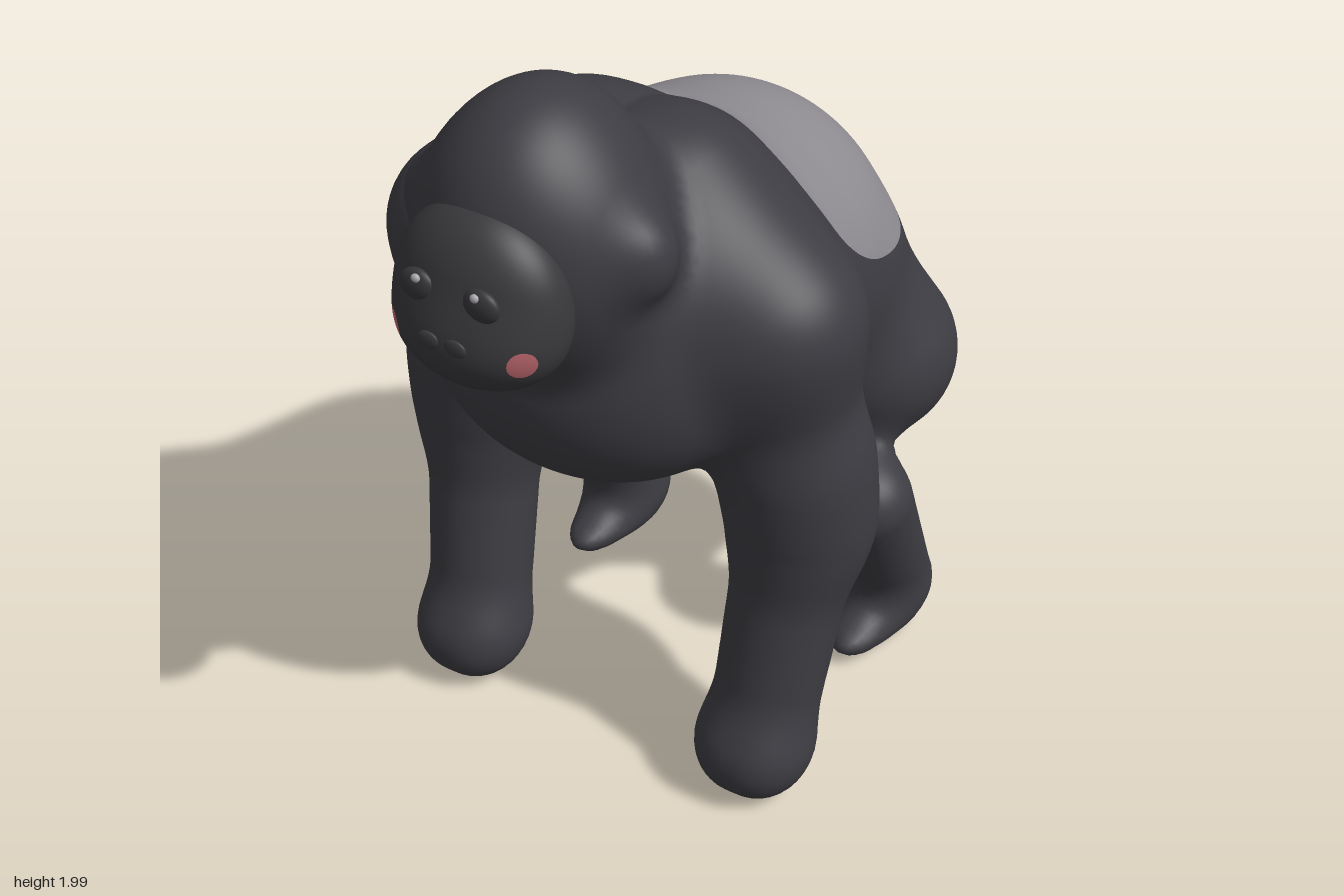
import * as THREE from 'three';
import { mergeVertices } from 'three/addons/utils/BufferGeometryUtils.js';

const material = (name, color) => {
  const m = new THREE.MeshStandardMaterial({ color });
  m.name = name;
  return m;
};
const fur = material('dark fur', 0x3d3c42);
const silver = material('silver fur', 0x8d8a90);
const skinTone = material('face skin', 0x39383b);
const eyeDark = material('eye dark', 0x363539);
const glint = material('eye glint', 0xa9a6ac);
const blush = material('cheek pink', 0xb8656b);
const skinMaterials = { silverBack: silver, face: skinTone, cheeks: blush };

// Rounded volumes as distance functions; x is mirrored, so only the left side is described
const ellipsoid = (c, r) => (x, y, z) => {
  const u = (x - c[0]) / r[0], v = (y - c[1]) / r[1], w = (z - c[2]) / r[2];
  const k = Math.hypot(u, v, w);
  if (k < 1e-6) return -Math.min(...r);
  return (k * (k - 1)) / Math.hypot(u / r[0], v / r[1], w / r[2]);
};
const limb = (a, b, ra, rb) => {
  const d = b.map((v, i) => v - a[i]);
  const len2 = d[0] ** 2 + d[1] ** 2 + d[2] ** 2;
  return (x, y, z) => {
    const px = x - a[0], py = y - a[1], pz = z - a[2];
    const t = Math.min(1, Math.max(0, (px * d[0] + py * d[1] + pz * d[2]) / len2));
    return Math.hypot(px - d[0] * t, py - d[1] * t, pz - d[2] * t) - ra - (rb - ra) * t;
  };
};

const bodyParts = {
  torso: [
    ellipsoid([0, 1.15, -0.35], [0.45, 0.465, 0.427]),   // belly and rump
    ellipsoid([0, 1.26, -0.15], [0.445, 0.38, 0.3]),     // waist
    ellipsoid([0, 1.345, 0.1], [0.47, 0.415, 0.42]),     // rib cage
    ellipsoid([0, 1.19, 0.26], [0.36, 0.25, 0.245]),     // lower chest
    limb([0.13, 1.6, 0.08], [0.41, 1.37, 0.12], 0.185, 0.175), // shoulder slope
  ],
  head: [
    ellipsoid([0, 1.61, 0.43], [0.25, 0.24, 0.21]),
    ellipsoid([0, 1.61, 0.47], [0.22, 0.23, 0.175]),     // brow and jaw
    ellipsoid([0, 1.7, 0.43], [0.24, 0.18, 0.19]),       // temples
    ellipsoid([0, 1.785, 0.425], [0.18, 0.21, 0.222]),   // crest
    ellipsoid([0.285, 1.67, 0.44], [0.03, 0.045, 0.035]), // ear
  ],
  arm: [
    limb([0.41, 1.37, 0.1], [0.45, 0.95, 0.05], 0.18, 0.158),
    limb([0.45, 0.95, 0.05], [0.46, 0.77, 0.03], 0.158, 0.145),
    limb([0.46, 0.77, 0.03], [0.43, 0.18, 0.14], 0.15, 0.132),
    limb([0.41, 0.125, 0.2], [0.45, 0.125, 0.2], 0.1, 0.1), // fist
  ],
  leg: [
    ellipsoid([0.315, 0.85, -0.585], [0.215, 0.215, 0.213]), // haunch
    limb([0.2, 1.08, -0.52], [0.3, 0.88, -0.58], 0.205, 0.195), // buttock
    limb([0.445, 0.565, -0.36], [0.42, 0.14, -0.6], 0.12, 0.112),
    ellipsoid([0.42, 0.062, -0.47], [0.078, 0.054, 0.155]), // foot
  ],
};
const faceParts = {
  face: [
    ellipsoid([0, 1.61, 0.645], [0.21, 0.21, 0.135]),
    ellipsoid([0, 1.53, 0.67], [0.18, 0.112, 0.125]),    // muzzle
  ],
};

// Smooth union of all volumes, cut level at the ground
const blend = (parts, k) => {
  const shapes = Object.values(parts).flat();
  return (x, y, z) => {
    let d = 10;
    for (const s of shapes) {
      const e = s(Math.abs(x), y, z);
      const h = Math.max(0, k - Math.abs(d - e));
      d = Math.min(d, e) - (h * h) / (4 * k);
    }
    return Math.max(d, 0.004 - y);
  };
};
const slope = (f, [x, y, z], e = 0.002) => [
  (f(x + e, y, z) - f(x - e, y, z)) / (2 * e),
  (f(x, y + e, z) - f(x, y - e, z)) / (2 * e),
  (f(x, y, z + e) - f(x, y, z - e)) / (2 * e),
];

// Wrap a field in a skin: one point per crossed grid cell, one quad per crossed grid edge
function wrap(f, min, max, step, emit) {
  const n = min.map((v, i) => Math.ceil((max[i] - v) / step) + 1);
  const stride = [1, n[0], n[0] * n[1]];
  const at = (i) => [i % n[0], Math.floor(i / n[0]) % n[1], Math.floor(i / stride[2])];
  const values = new Float32Array(n[0] * n[1] * n[2]);
  for (let i = 0; i < values.length; i++) {
    values[i] = f(...at(i).map((c, a) => min[a] + c * step));
  }
  const points = new Map();
  const point = (cell) => {
    if (!points.has(cell)) {
      const middle = at(cell).map((c, a) => min[a] + (c + 0.5) * step);
      let p = middle;
      for (let pass = 0; pass < 3; pass++) {
        const d = f(...p), g = slope(f, p);
        const g2 = Math.max(0.3, g[0] ** 2 + g[1] ** 2 + g[2] ** 2);
        // Stay close to the cell
        p = p.map((v, a) => THREE.MathUtils.clamp(v - (d * g[a]) / g2, middle[a] - step, middle[a] + step));
      }
      points.set(cell, p);
    }
    return points.get(cell);
  };
  for (let i = 0; i < values.length - stride[2]; i++) {
    for (let a = 0; a < 3; a++) {
      const inside = values[i] < 0;
      if (inside === values[i + stride[a]] < 0) continue;
      const b = stride[(a + 1) % 3], c = stride[(a + 2) % 3];
      const q = [i, i - b, i - b - c, i - c].map(point);
      if (!inside) q.reverse();
      emit([q[0], q[1], q[2]]);
      emit([q[0], q[2], q[3]]);
    }
  }
}

// The part of a triangle where sign * g is negative
function clip(tri, g, sign) {
  const out = [];
  tri.forEach((p, i) => {
    const q = tri[(i + 1) % 3];
    const gp = sign * g(p), gq = sign * g(q);
    if (gp <= 0) out.push(p);
    if (gp * gq < 0) out.push(p.map((v, a) => v + ((q[a] - v) * gp) / (gp - gq)));
  });
  return out;
}

// Collect polygons under part names and turn each collection into a smooth mesh
function buildSkin(group, f, min, max, step, sort) {
  const bins = {};
  const add = (name, poly) => {
    if (poly.length < 3) return;
    const bin = (bins[name] ??= { position: [], normal: [] });
    for (let i = 2; i < poly.length; i++) {
      for (const p of [poly[0], poly[i - 1], poly[i]]) {
        const g = slope(f, p), l = Math.hypot(...g) || 1;
        bin.position.push(...p);
        bin.normal.push(g[0] / l, g[1] / l, g[2] / l);
      }
    }
  };
  wrap(f, min, max, step, (tri) => sort(tri, add));
  for (const [name, bin] of Object.entries(bins)) {
    const geo = new THREE.BufferGeometry();
    for (const key of ['position', 'normal']) {
      geo.setAttribute(key, new THREE.Float32BufferAttribute(bin[key], 3));
    }
    const mesh = new THREE.Mesh(mergeVertices(geo, 1e-5), skinMaterials[name] ?? fur);
    mesh.name = name;
    group.add(mesh);
  }
}

export function createModel() {
  const model = new THREE.Group();
  model.name = 'gorilla';

  // Furry body, divided into the nearest part; the saddle on the back is silver
  const saddle = ([, y, z]) => ((z + 0.535) / 0.435) ** 2 + ((y - 1.7) / 0.45) ** 2 - 1;
  const partName = (tri) => {
    const [x, y, z] = [0, 1, 2].map((a) => (tri[0][a] + tri[1][a] + tri[2][a]) / 3);
    let best = 10, name = '';
    for (const [key, shapes] of Object.entries(bodyParts)) {
      for (const s of shapes) {
        const d = s(Math.abs(x), y, z);
        if (d < best) [best, name] = [d, key];
      }
    }
    if (name === 'arm' || name === 'leg') name = (x > 0 ? 'left' : 'right') + (name === 'arm' ? 'Arm' : 'Leg');
    return name;
  };
  buildSkin(model, blend(bodyParts, 0.13), [-0.72, -0.05, -0.88], [0.72, 2.07, 0.78], 0.022, (tri, add) => {
    add('silverBack', clip(tri, saddle, 1));
    add(partName(tri), clip(tri, saddle, -1));
  });

  // Bare face with flush pink cheeks
  const face = blend(faceParts, 0.08);
  const faceZ = (x, y) => {
    let z = 0.9;
    while (z > 0.6 && face(x, y, z) > 0) z -= 0.002;
    return z;
  };
  const cheekZ = faceZ(0.163, 1.53);
  const cheek = ([x, y, z]) => Math.hypot(Math.abs(x) - 0.163, y - 1.53, z - cheekZ) - 0.034;
  buildSkin(model, face, [-0.26, 1.35, 0.44], [0.26, 1.87, 0.87], 0.011, (tri, add) => {
    add('cheeks', clip(tri, cheek, 1));
    add('face', clip(tri, cheek, -1));
  });

  // Features seated on the face surface
  const ball = new THREE.SphereGeometry(1, 24, 16);
  const feature = (name, mat, x, y, radii, lift) => {
    for (const side of [1, -1]) {
      const mesh = new THREE.Mesh(ball, mat);
      mesh.name = (side > 0 ? 'left' : 'right') + name;
      mesh.position.set(side * x, y, faceZ(x, y) + lift);
      mesh.scale.set(...radii);
      model.add(mesh);
    }
  };
  feature('Eye', eyeDark, 0.08, 1.662, [0.045, 0.039, 0.02], 0);
  feature('EyeGlint', glint, 0.074, 1.686, [0.011, 0.01, 0.008], 0.02);
  feature('Nostril', skinTone, 0.034, 1.56, [0.028, 0.021, 0.008], 0);

  return model;
}
